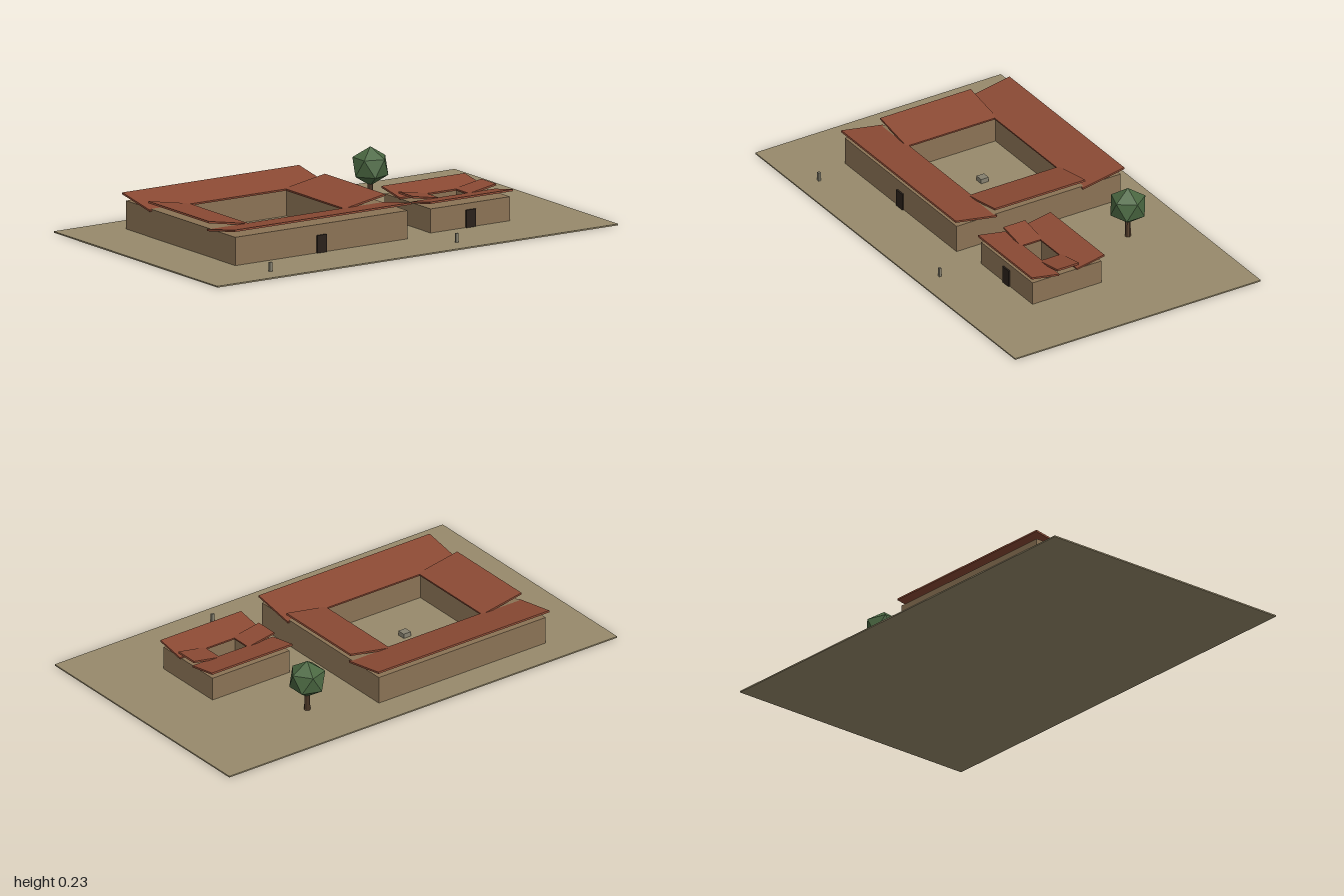
import * as THREE from 'three';

const GROUND = 0.006;
const SLOPE = THREE.MathUtils.degToRad(10);
const material = (color) => new THREE.MeshStandardMaterial({ color, flatShading: true });

const mats = {
  ground: material(0x978a6b),
  wall: material(0x8b7355),
  roof: material(0x8b4a34),
  door: material(0x2a211b),
  stone: material(0x85806f),
  trunk: material(0x5a4330),
  leaf: material(0x4a6741),
};

// Box standing with its base at height y
function box(name, mat, w, h, d, x, y, z) {
  const mesh = new THREE.Mesh(new THREE.BoxGeometry(w, h, d), mat);
  mesh.name = name;
  mesh.position.set(x, y + h / 2, z);
  return mesh;
}

// Four wings round a courtyard, each under a roof panel that falls inward
function courtyardHouse({ name, x, z, width, depth, wing, wallTop, eaves, roofTop, doorX }) {
  const house = new THREE.Group();
  house.name = name;
  house.position.set(x, 0, z);
  const wallHeight = wallTop - GROUND;
  const panelRun = wing + 2 * eaves;
  const thickness = 0.008;
  const sides = ['front', 'left', 'back', 'right'];

  sides.forEach((side, i) => {
    const across = i % 2 === 0;
    const half = (across ? depth : width) / 2;
    const length = across ? width : depth - 2 * wing;
    const part = new THREE.Group();
    part.name = side + 'Wing';
    part.rotation.y = (i * Math.PI) / 2;
    part.add(box(side + 'Walls', mats.wall, length, wallHeight, wing, 0, GROUND, half - wing / 2));

    // Roof panel, highest along the outer eaves
    const panel = new THREE.Mesh(
      new THREE.BoxGeometry(across ? length + 2 * eaves : length, thickness, panelRun / Math.cos(SLOPE)),
      mats.roof
    );
    panel.name = side + 'Roof';
    panel.rotation.x = -SLOPE;
    panel.position.set(0, roofTop - (panelRun / 2) * Math.tan(SLOPE) - thickness / 2, half - wing / 2);
    part.add(panel);
    house.add(part);
  });

  house.add(box('door', mats.door, 0.047, 0.075, 0.01, doorX, GROUND, depth / 2 + 0.002));
  return house;
}

function tree(x, z) {
  const group = new THREE.Group();
  group.name = 'tree';
  group.position.set(x, 0, z);
  const trunk = new THREE.Mesh(new THREE.CylinderGeometry(0.011, 0.013, 0.09, 8), mats.trunk);
  trunk.name = 'trunk';
  trunk.position.y = GROUND + 0.045;
  // Crown turned to stand on one corner
  const crownShape = new THREE.IcosahedronGeometry(0.083, 0);
  crownShape.rotateZ(-Math.atan(2 / (1 + Math.sqrt(5))));
  const crown = new THREE.Mesh(crownShape, mats.leaf);
  crown.name = 'crown';
  crown.position.y = 0.15;
  group.add(trunk, crown);
  return group;
}

export function createModel() {
  const model = new THREE.Group();
  model.name = 'courtyardCompound';

  model.add(box('ground', mats.ground, 2, GROUND, 1.2, 0, 0, 0));

  model.add(courtyardHouse({
    name: 'largeHouse', x: -0.3, z: -0.067, width: 0.86, depth: 0.802,
    wing: 0.18, wallTop: 0.126, eaves: 0.011, roofTop: 0.16, doorX: 0,
  }));
  model.add(courtyardHouse({
    name: 'smallHouse', x: 0.465, z: 0.133, width: 0.396, depth: 0.336,
    wing: 0.115, wallTop: 0.108, eaves: 0.0095, roofTop: 0.14, doorX: 0,
  }));

  // Stone block in the large courtyard
  model.add(box('courtyardStone', mats.stone, 0.037, 0.02, 0.037, -0.303, GROUND, -0.068));

  // Standing posts in front
  for (const x of [-0.667, 0.262]) {
    model.add(box('post', mats.stone, 0.012, 0.039, 0.01, x, GROUND, 0.5));
  }

  model.add(tree(0.398, -0.333));
  return model;
}
